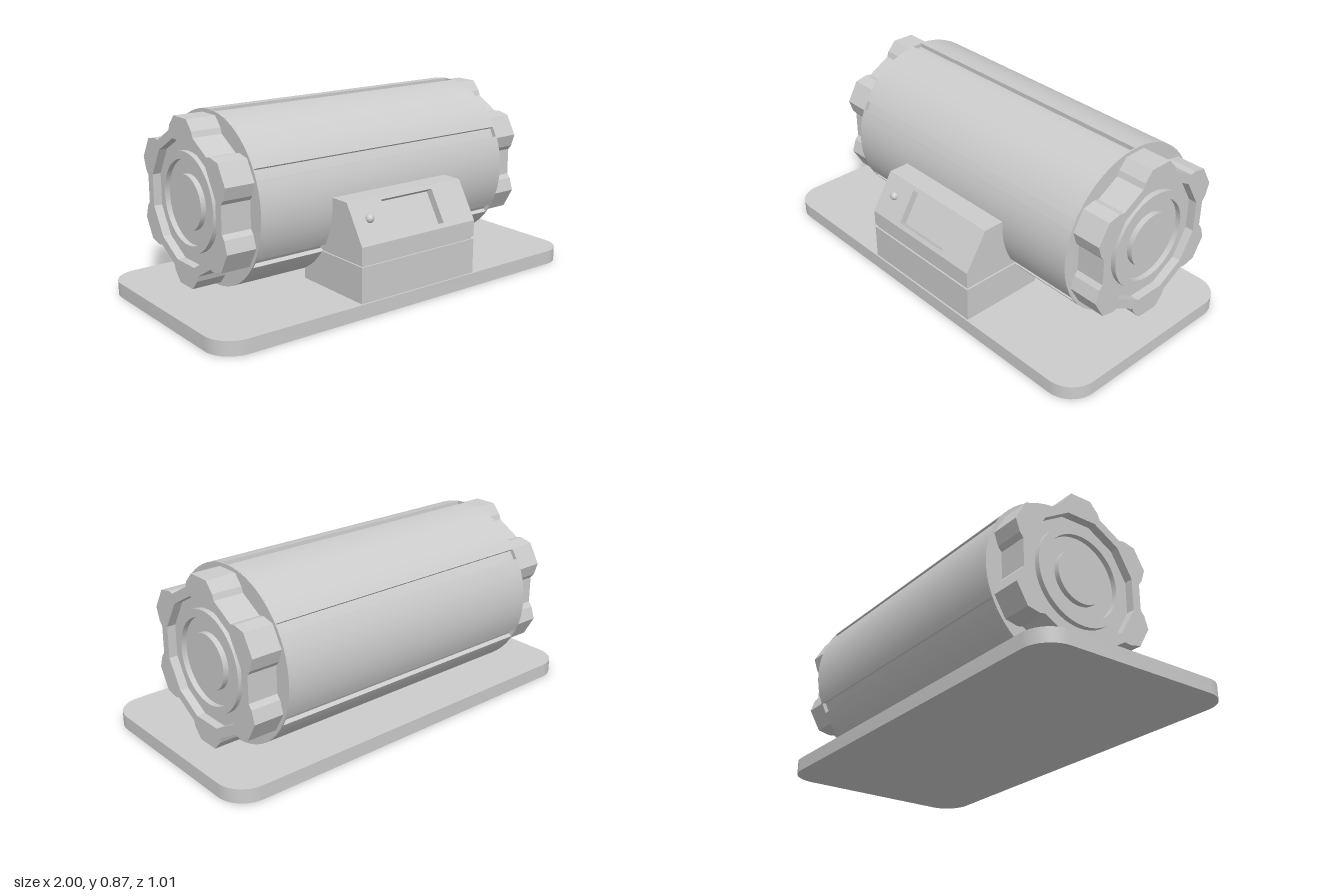
import * as THREE from 'three';
import { toCreasedNormals } from 'three/addons/utils/BufferGeometryUtils.js';

const material = new THREE.MeshStandardMaterial({ color: 0xcccccc });
const AXIS_Y = 0.468, AXIS_Z = -0.107, R = 0.398;
const rad = THREE.MathUtils.degToRad;

function add(parent, name, geometry, x = 0, y = 0, z = 0) {
  const mesh = new THREE.Mesh(geometry, material);
  mesh.name = name;
  mesh.position.set(x, y, z);
  parent.add(mesh);
  return mesh;
}

// Extrudes a [z, y] outline along +x, starting at x = 0
function extrudeX(points, length, hole) {
  const toV2 = ([z, y]) => new THREE.Vector2(-z, y);
  const shape = new THREE.Shape(points.map(toV2));
  if (hole) shape.holes.push(new THREE.Path(hole.map(toV2)));
  const g = new THREE.ExtrudeGeometry(shape, { depth: length, bevelEnabled: false });
  return toCreasedNormals(g.rotateY(Math.PI / 2), 0.2);
}

// Point on a circle, angle in degrees measured from the top towards +z
const polar = (r, deg) => [r * Math.sin(rad(deg)), r * Math.cos(rad(deg))];

// Cylinder along +x from x = 0
function discX(r, length) {
  return new THREE.CylinderGeometry(r, r, length, 64).rotateZ(-Math.PI / 2).translate(length / 2, 0, 0);
}

function makeBase() {
  const w = 1, d = 0.5, r = 0.13;
  const s = new THREE.Shape();
  s.moveTo(-w + r, -d);
  s.absarc(w - r, -d + r, r, -Math.PI / 2, 0);
  s.absarc(w - r, d - r, r, 0, Math.PI / 2);
  s.absarc(-w + r, d - r, r, Math.PI / 2, Math.PI);
  s.absarc(-w + r, -d + r, r, Math.PI, Math.PI * 1.5);
  const g = new THREE.ExtrudeGeometry(s, { depth: 0.066, bevelEnabled: false, curveSegments: 5 });
  return toCreasedNormals(g.rotateX(-Math.PI / 2), 0.5);
}

// Barrel outline with six shallow lengthwise grooves
function grooveOutline() {
  const pts = [];
  for (let k = 0; k < 6; k++) {
    const a = k * 60 + 2;
    for (let i = 0; i <= 2; i++) pts.push(polar(R - 0.02, a - 2 + i * 3.5));
    for (let i = 0; i <= 12; i++) pts.push(polar(R, a + 5 + (i * 53) / 12));
  }
  return pts;
}

// Lobed end cap with a stepped recess, facing +x
function makeCap(name, length) {
  const cap = new THREE.Group();
  cap.name = name;
  const lobe = [[-0.104, 0.307], [-0.095, 0.333], [-0.054, 0.379], [0.054, 0.379], [0.095, 0.333], [0.104, 0.307]];
  const outline = [], hole = [];
  for (let k = 0; k < 6; k++) {
    const c = Math.cos(rad(60 * k)), s = Math.sin(rad(60 * k));
    for (const [z, y] of lobe) outline.push([z * c + y * s, y * c - z * s]);
  }
  for (let k = 0; k < 12; k++) hole.push(polar(0.285, 15 + 30 * k));
  add(cap, name + 'Rim', extrudeX(outline, length, hole));
  add(cap, name + 'Floor', discX(0.3, length - 0.04));
  const circle = (r) => Array.from({ length: 48 }, (_, i) => polar(r, i * 7.5));
  add(cap, name + 'Ring', extrudeX(circle(0.228), length - 0.015, circle(0.193)));
  add(cap, name + 'Hub', discX(0.126, length - 0.015));
  return cap;
}

// Control box: plinth, seam, sloped housing and recessed window
function makeControlBox() {
  const box = new THREE.Group();
  box.name = 'controlBox';
  const x0 = -0.297, width = 0.657;
  add(box, 'plinth', extrudeX([[0.08, 0.06], [0.497, 0.06], [0.497, 0.231], [0.08, 0.231]], width), x0);
  add(box, 'seam', extrudeX([[0.09, 0.22], [0.489, 0.22], [0.489, 0.255], [0.09, 0.255]], width - 0.016), x0 + 0.008);

  // The housing leaves a step along the slope where the panel sits
  const low = new THREE.Vector2(0.497, 0.32), high = new THREE.Vector2(0.39, 0.494);
  const up = high.clone().sub(low);
  const slopeLength = up.length();
  up.normalize();
  const out = new THREE.Vector2(up.y, -up.x), depth = 0.036;
  const lowIn = low.clone().addScaledVector(out, -depth);
  const highIn = high.clone().addScaledVector(out, -depth);
  add(box, 'housing', extrudeX([[0.1, 0.244], [0.497, 0.244], low.toArray(), lowIn.toArray(),
    highIn.toArray(), high.toArray(), [0.1, 0.494]], width), x0);

  // Sloped panel with a window opening
  const rect = (T, l, b, r, t) => new T([[l, b], [r, b], [r, t], [l, t]].map((p) => new THREE.Vector2(...p)));
  const shape = rect(THREE.Shape, 0, 0, width, slopeLength);
  shape.holes.push(rect(THREE.Path, 0.182, 0.022, 0.477, 0.186));
  const panel = add(box, 'slopedPanel', new THREE.ExtrudeGeometry(shape, { depth, bevelEnabled: false }),
    x0, lowIn.y, lowIn.x);
  panel.rotation.x = -Math.atan2(out.y, out.x);

  add(box, 'button', new THREE.SphereGeometry(0.02, 24, 16), -0.21, 0.42, 0.439);
  return box;
}

export function createModel() {
  const model = new THREE.Group();
  model.name = 'model';
  add(model, 'basePlate', makeBase(), 0, 0, 0.005);

  // Barrel with thin end flanges
  const drum = new THREE.Group();
  drum.name = 'drum';
  drum.position.set(0, AXIS_Y, AXIS_Z);
  add(drum, 'barrel', extrudeX(grooveOutline(), 1.388), -0.659);
  add(drum, 'leftFlange', discX(R, 0.006), 0.729);
  add(drum, 'rightFlange', discX(R, 0.006), -0.665);

  const leftCap = makeCap('leftCap', 0.14);
  leftCap.position.x = 0.735;
  const rightCap = makeCap('rightCap', 0.142);
  rightCap.position.x = -0.665;
  rightCap.rotation.y = Math.PI;
  drum.add(leftCap, rightCap);

  model.add(drum, makeControlBox());
  return model;
}
